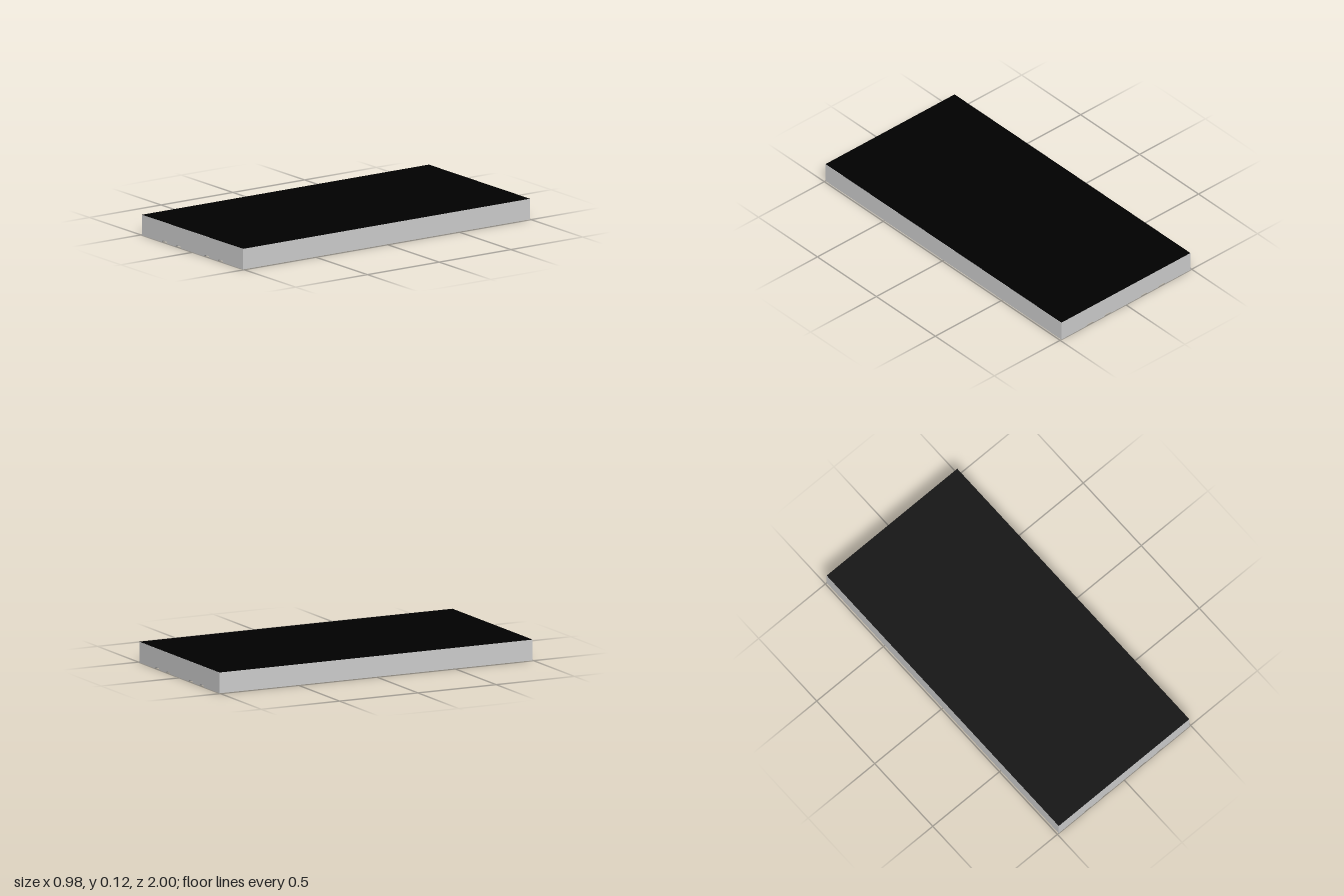
import * as THREE from 'three';

const HALF_WIDTH = 0.49, HEIGHT = 0.12, LENGTH = 2, SKIN = 0.0004;
const GROOVE = { halfWidth: 0.0275, halfRoof: 0.018, depth: 0.01 };

export function createModel() {
  const group = new THREE.Group();
  group.name = 'groovedSlab';

  // Slab: cross-section with four trapezoid grooves in the underside
  const section = new THREE.Shape();
  section.moveTo(-HALF_WIDTH, 0);
  for (const x of [-0.272, -0.138, 0.138, 0.272]) {
    section.lineTo(x - GROOVE.halfWidth, 0);
    section.lineTo(x - GROOVE.halfRoof, GROOVE.depth);
    section.lineTo(x + GROOVE.halfRoof, GROOVE.depth);
    section.lineTo(x + GROOVE.halfWidth, 0);
  }
  section.lineTo(HALF_WIDTH, 0);
  section.lineTo(HALF_WIDTH, HEIGHT - SKIN);
  section.lineTo(-HALF_WIDTH, HEIGHT - SKIN);
  section.closePath();

  const slabGeometry = new THREE.ExtrudeGeometry(section, { depth: LENGTH, bevelEnabled: false });
  slabGeometry.translate(0, 0, -LENGTH / 2);
  const slab = new THREE.Mesh(slabGeometry, new THREE.MeshStandardMaterial({ color: 0xcccccc }));
  slab.name = 'slab';
  group.add(slab);

  // Black covering over the whole top
  const topGeometry = new THREE.PlaneGeometry(HALF_WIDTH * 2, LENGTH);
  topGeometry.rotateX(-Math.PI / 2);
  const top = new THREE.Mesh(topGeometry, new THREE.MeshStandardMaterial({ color: 0x000000 }));
  top.name = 'topSurface';
  top.position.y = HEIGHT;
  group.add(top);

  return group;
}
